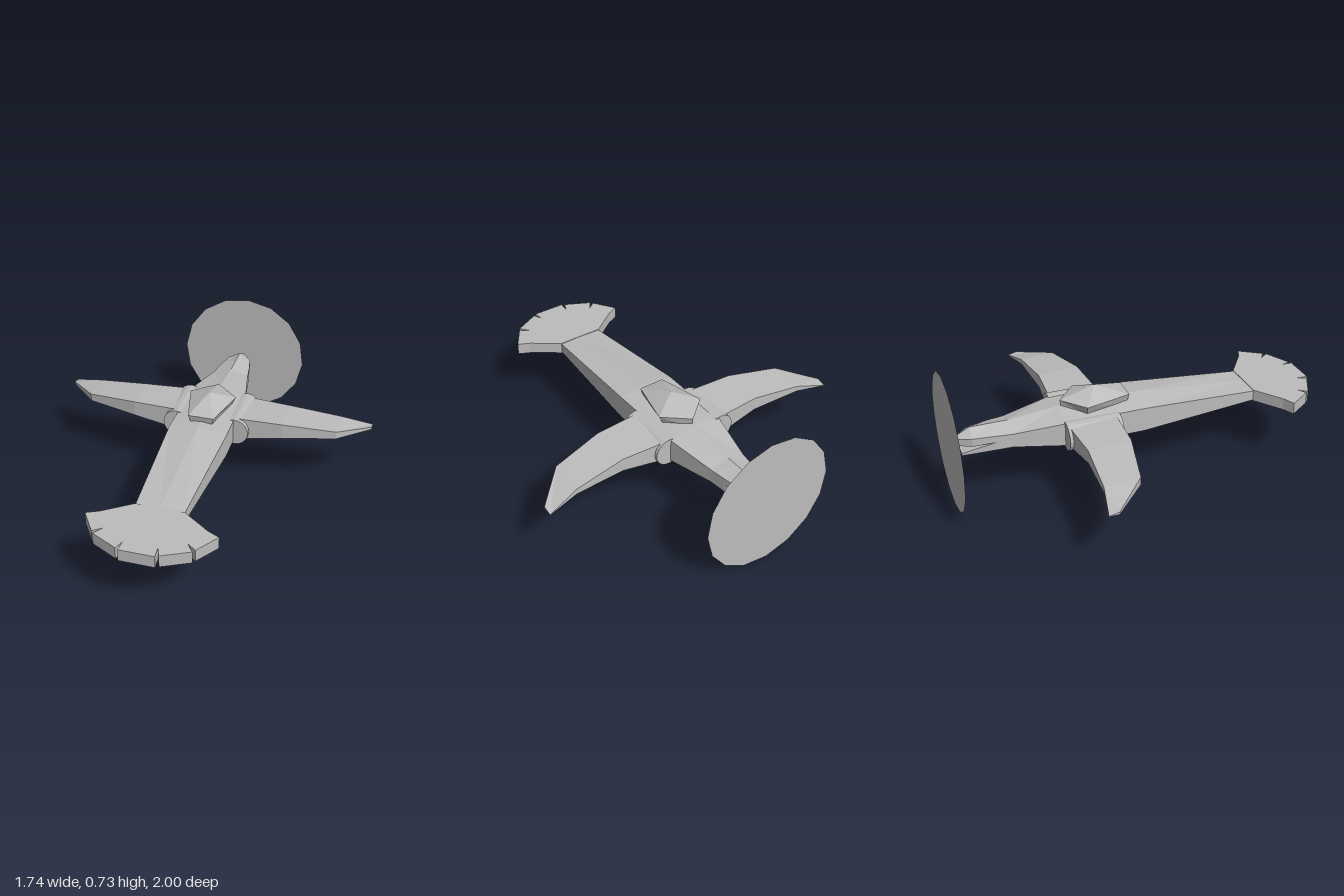
import * as THREE from 'three';

const grey = new THREE.MeshStandardMaterial({ color: 0xbcbcbc, flatShading: true });
grey.name = 'plain grey';
const greyDisc = grey; // one shared colour

// Faceted skin over a row of rings; each ring runs counter-clockwise seen from outside the first one
function loft(rings) {
  const pos = [];
  const tri = (a, b, c) => pos.push(...a, ...b, ...c);
  const n = rings[0].length;
  for (let i = 0; i < rings.length - 1; i++) {
    for (let k = 0; k < n; k++) {
      const a = rings[i][k], b = rings[i][(k + 1) % n];
      const d = rings[i + 1][k], c = rings[i + 1][(k + 1) % n];
      tri(a, d, c);
      tri(a, c, b);
    }
  }
  const first = rings[0], last = rings[rings.length - 1];
  for (let k = 1; k < n - 1; k++) {
    tri(first[0], first[k], first[k + 1]);
    tri(last[0], last[k + 1], last[k]);
  }
  const g = new THREE.BufferGeometry();
  g.setAttribute('position', new THREE.Float32BufferAttribute(pos, 3));
  g.computeVertexNormals();
  return g;
}

// Six-sided hull section: z, half width, top centre, top edge, bottom edge, bottom centre
const hullRing = ([z, w, tc, ts, bs, bc]) => [
  [0, tc, z], [-w, ts, z], [-w, bs, z], [0, bc, z], [w, bs, z], [w, ts, z],
];

export function createModel() {
  const model = new THREE.Group();
  const add = (name, geometry) => {
    const mesh = new THREE.Mesh(geometry, grey);
    mesh.name = name;
    model.add(mesh);
    return mesh;
  };

  // Long hull, narrowing towards the fan and the beak
  add('hull', loft([
    [0.65, 0.125, 0.398, 0.395, 0.34, 0.337],
    [0, 0.158, 0.458, 0.437, 0.305, 0.285],
    [-0.42, 0.155, 0.455, 0.435, 0.305, 0.285],
    [-0.69, 0.1, 0.43, 0.4, 0.325, 0.293],
    [-0.775, 0.088, 0.43, 0.4, 0.32, 0.292],
  ].map(hullRing)));

  // Open beak
  add('upperBeak', loft([
    [-0.775, 0.088, 0.43, 0.4, 0.364, 0.364],
    [-0.89, 0.065, 0.43, 0.395, 0.352, 0.352],
    [-0.978, 0.003, 0.385, 0.38, 0.342, 0.342],
  ].map(hullRing)));
  add('lowerBeak', loft([
    [-0.775, 0.088, 0.364, 0.364, 0.32, 0.292],
    [-0.942, 0.035, 0.305, 0.305, 0.292, 0.285],
  ].map(hullRing)));

  // Faceted canopy: narrow base, wide rim, single peak
  const rim = [[0.07, -0.05], [-0.07, -0.05], [-0.13, -0.3], [0, -0.41], [0.13, -0.3]];
  const canopyRing = (y, sx, sz) => rim.map(([x, z]) => [x * sx, y, -0.22 + (z + 0.22) * sz]);
  add('canopy', loft([
    canopyRing(0.43, 0.78, 0.94), canopyRing(0.487, 1, 1), canopyRing(0.543, 0.002, 0.002),
  ]));

  // Notched fan
  const half = [
    [0.125, 0.65], [0.27, 0.755], [0.333, 0.785], [0.253, 0.905], [0.206, 0.87],
    [0.243, 0.92], [0.105, 0.99], [0.085, 0.94], [0.09, 1],
  ];
  const outline = [...half, ...half.map(([x, z]) => [-x, z]).reverse()];
  const fanShape = new THREE.Shape(outline.map(([x, z]) => new THREE.Vector2(x, z)));
  const fan = new THREE.ExtrudeGeometry(fanShape, { depth: 0.065, bevelEnabled: false });
  fan.rotateX(Math.PI / 2).translate(0, 0.4, 0);
  add('fan', fan);

  // Wing stations: x, front z, back z, bottom, top
  const stations = [
    [0.18, -0.163, -0.417, 0.315, 0.44],
    [0.42, -0.175, -0.4, 0.352, 0.437],
    [0.7, -0.235, -0.42, 0.362, 0.405],
    [0.87, -0.405, -0.457, 0.348, 0.362],
  ];
  for (const side of [1, -1]) {
    const name = side > 0 ? 'left' : 'right';
    add(name + 'Wing', loft(stations.map(([x, front, back, low, high]) => {
      const ring = [
        [side * x, low, back], [side * x, low, front],
        [side * x, high, front], [side * x, high - 0.012, back],
      ];
      return side > 0 ? ring : ring.reverse();
    })));

    // Round wing mount
    const mount = new THREE.CylinderGeometry(0.076, 0.076, 0.29, 20);
    mount.rotateX(Math.PI / 2).translate(side * 0.162, 0.367, -0.285);
    add(name + 'WingMount', mount);
  }

  // Thin propeller disc at the beak tip, one face each way
  for (const turn of [0, Math.PI]) {
    const disc = new THREE.CircleGeometry(0.365, 16, -0.044 * (turn ? -1 : 1));
    disc.rotateY(turn).translate(0, 0.366, turn ? -1 : -0.999);
    add(turn ? 'propellerDiscOuter' : 'propellerDiscInner', disc).material = greyDisc;
  }

  return model;
}
